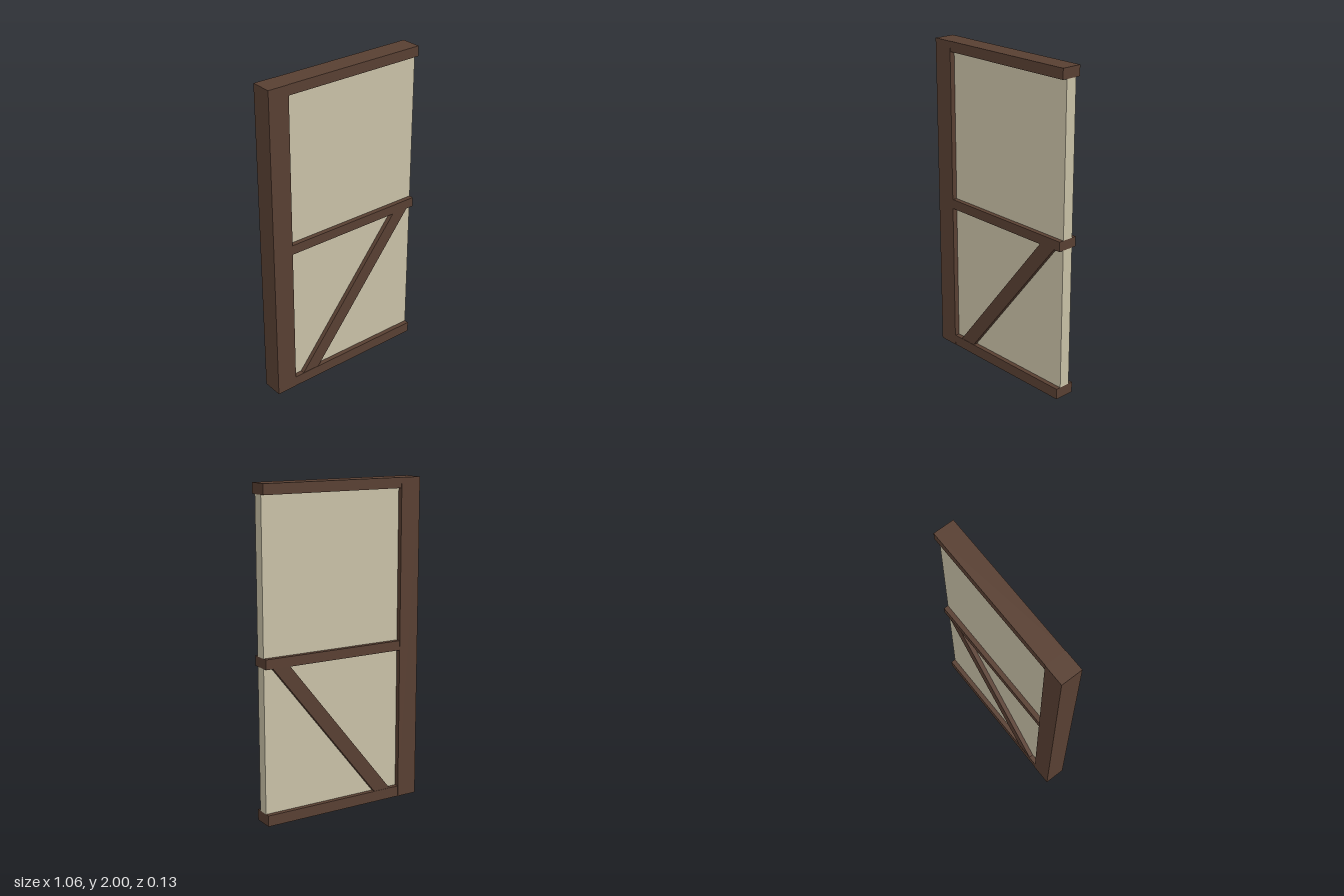
import * as THREE from 'three';

export function createModel() {
  const group = new THREE.Group();
  const wood = new THREE.MeshStandardMaterial({ color: 0x583f32 });
  wood.name = 'dark wood';
  const plaster = new THREE.MeshStandardMaterial({ color: 0xc8c0a6 });
  plaster.name = 'pale plaster';

  const add = (name, geometry, material) => {
    const mesh = new THREE.Mesh(geometry, material);
    mesh.name = name;
    group.add(mesh);
  };

  // Box given by its x and y limits, centred on z = 0
  const block = (name, x0, x1, y0, y1, depth, material) => {
    const geometry = new THREE.BoxGeometry(x1 - x0, y1 - y0, depth);
    geometry.translate((x0 + x1) / 2, (y0 + y1) / 2, 0);
    add(name, geometry, material);
  };

  const left = -0.4, right = 0.53, beamDepth = 0.129;

  // Upright post and the three horizontal beams
  block('post', -0.532, left, 0, 2, 0.133, wood);
  block('bottomBeam', left, right, 0, 0.067, beamDepth, wood);
  block('middleBeam', left, right, 0.95, 1.01, beamDepth, wood);
  block('topBeam', left, right, 1.937, 2, beamDepth, wood);

  // Plaster infill between the beams
  block('lowerPanel', left, right, 0.067, 0.95, 0.07, plaster);
  block('upperPanel', left, right, 1.01, 1.937, 0.07, plaster);

  // Diagonal brace, visible on both faces, cut flush with the beams
  const outline = new THREE.Shape([
    new THREE.Vector2(-0.337, 0.067),
    new THREE.Vector2(-0.222, 0.067),
    new THREE.Vector2(0.483, 0.95),
    new THREE.Vector2(0.37, 0.95),
  ]);
  const brace = new THREE.ExtrudeGeometry(outline, { depth: 0.125, bevelEnabled: false });
  brace.translate(0, 0, -0.0625);
  add('diagonalBrace', brace, wood);

  return group;
}
